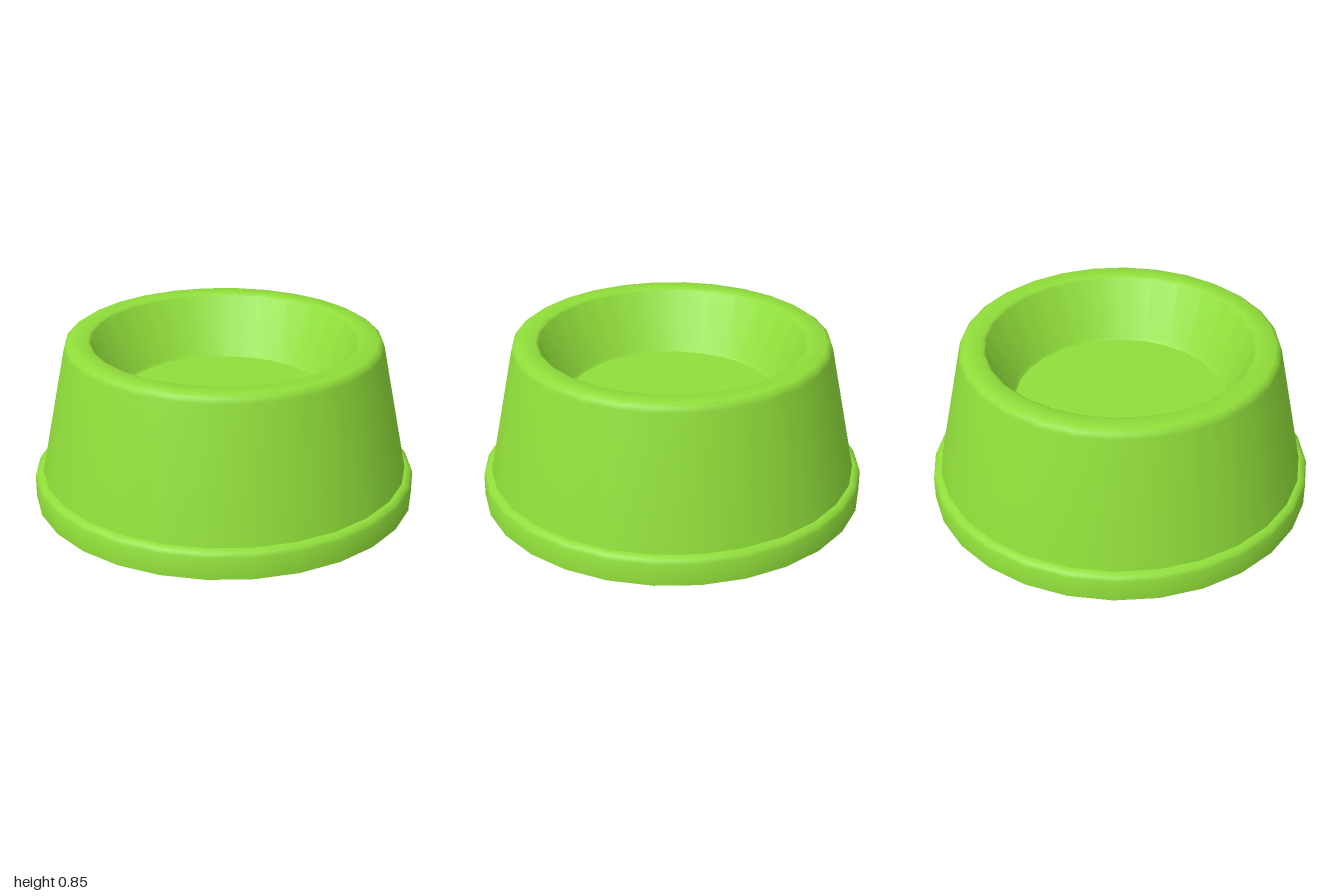
import * as THREE from 'three';
import { toCreasedNormals } from 'three/addons/utils/BufferGeometryUtils.js';

const SIDES = 28;

// Revolve a [radius, height] profile; only steep corners stay sharp
function turned(name, profile, material) {
  const points = profile.map(([r, y]) => new THREE.Vector2(r, y));
  const geometry = toCreasedNormals(new THREE.LatheGeometry(points, SIDES), 0.7);
  const mesh = new THREE.Mesh(geometry, material);
  mesh.name = name;
  return mesh;
}

export function createModel() {
  const model = new THREE.Group();
  model.name = 'petBowl';
  const green = new THREE.MeshStandardMaterial({ color: 0x90de3a });
  green.name = 'limeGreen';

  // Foot ring with closed underside and chamfered top edge
  model.add(turned('footRing', [
    [0, 0], [1, 0], [1, 0.115], [0.99, 0.133], [0.97, 0.145], [0.94, 0.145],
  ], green));

  // Tapered wall, rounded rim, sloping inside and floor
  model.add(turned('bowlBody', [
    [0.973, 0.07], [0.82, 0.815], [0.812, 0.838], [0.79, 0.853],
    [0.7, 0.853], [0.685, 0.845], [0.56, 0.545], [0.545, 0.53], [0, 0.53],
  ], green));

  return model;
}
